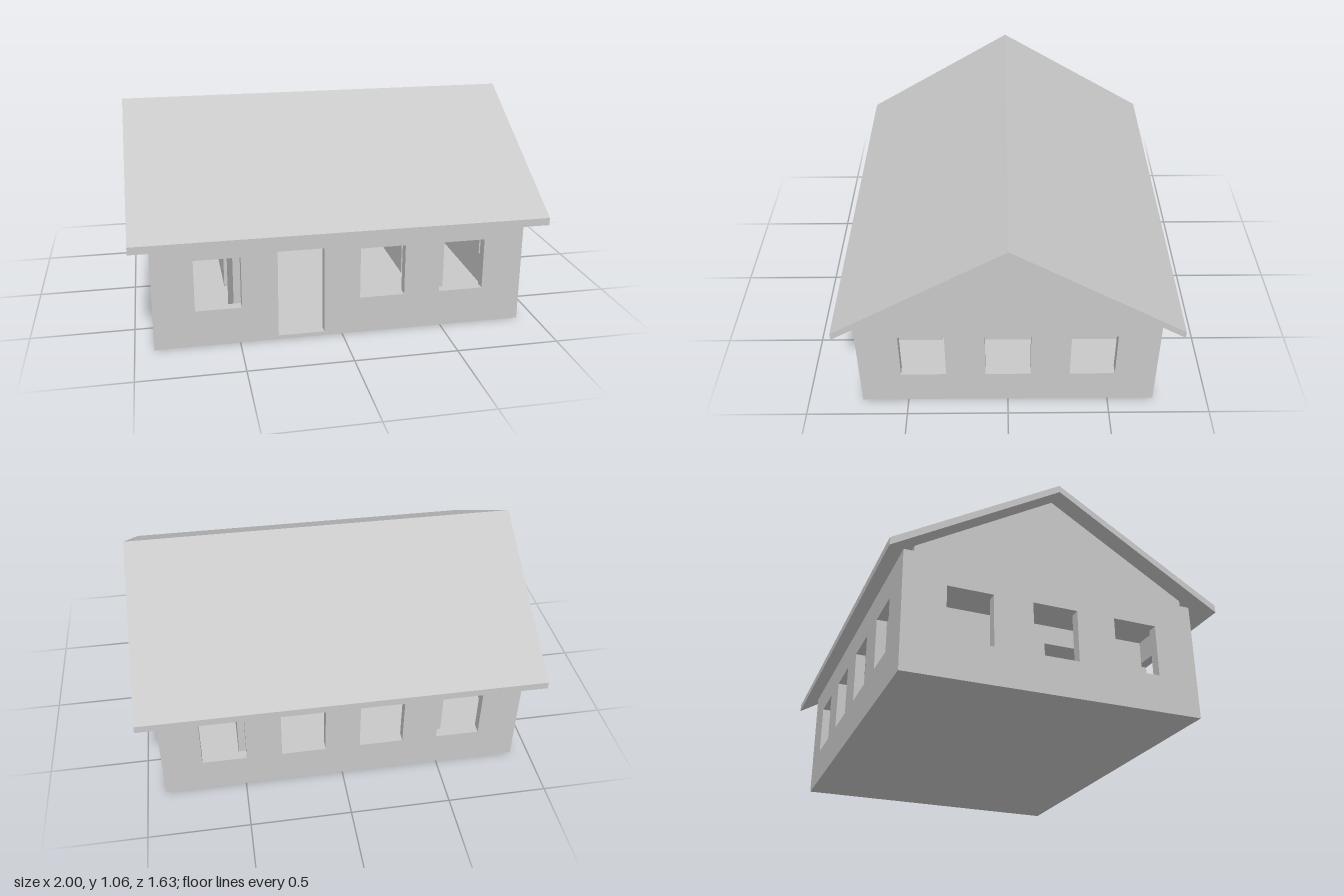
import * as THREE from 'three';

const HX = 0.908, HZ = 0.73, T = 0.05;      // half length, half depth, wall thickness
const EAVE = 0.585, FLOOR = 0.02;
const SILL = 0.185, HEAD = 0.443, DOOR_HEAD = 0.458;

// Extruded outline with rectangular openings [x0, x1, y0, y1]
function wallGeometry(outline, openings, depth) {
  const shape = new THREE.Shape(outline.map(([x, y]) => new THREE.Vector2(x, y)));
  for (const [x0, x1, y0, y1] of openings) {
    shape.holes.push(new THREE.Path([
      new THREE.Vector2(x0, y0), new THREE.Vector2(x0, y1),
      new THREE.Vector2(x1, y1), new THREE.Vector2(x1, y0),
    ]));
  }
  const geo = new THREE.ExtrudeGeometry(shape, { depth, bevelEnabled: false });
  return geo.translate(0, 0, -depth / 2);
}

const rect = (hw, y0, y1) => [[-hw, y0], [hw, y0], [hw, y1], [-hw, y1]];

export function createModel() {
  const house = new THREE.Group();
  house.name = 'house';
  const plaster = new THREE.MeshStandardMaterial({ color: 0xc8c8c8 });
  plaster.name = 'plain grey';

  function add(name, geo, x = 0, y = 0, z = 0, turn = 0) {
    const mesh = new THREE.Mesh(geo, plaster);
    mesh.name = name;
    mesh.position.set(x, y, z);
    mesh.rotation.y = turn;
    house.add(mesh);
  }

  // Long walls: four openings each, the front one with a door
  const windowAt = (c) => [c - 0.111, c + 0.111, SILL, HEAD];
  const door = [-0.314, -0.089, FLOOR, DOOR_HEAD];
  const long = rect(HX, 0, EAVE);
  add('frontWall', wallGeometry(long, [windowAt(-0.599), door, windowAt(0.199), windowAt(0.599)], T), 0, 0, HZ - T / 2);
  add('backWall', wallGeometry(long, [-0.599, -0.199, 0.199, 0.599].map(windowAt), T), 0, 0, -HZ + T / 2);

  // Gable walls between the long walls, rising to the roof
  const inner = HZ - T;
  const gable = [[-inner, 0], [inner, 0], [inner, 0.612], [0, 1.02], [-inner, 0.612]];
  const gableGeo = wallGeometry(gable, [-0.415, 0, 0.415].map(windowAt), T);
  for (const side of [-1, 1]) {
    add(side > 0 ? 'leftGable' : 'rightGable', gableGeo, side * (HX - T / 2), 0, 0, -Math.PI / 2);
  }

  // Inner partitions, each with a doorway towards the front
  const partitionGeo = wallGeometry(rect(inner, FLOOR, 0.56), [[0.125, 0.35, FLOOR + 0.001, DOOR_HEAD]], T);
  for (const side of [-1, 1]) {
    add(side > 0 ? 'leftPartition' : 'rightPartition', partitionGeo, side * 0.498, 0, 0, -Math.PI / 2);
  }

  // Floor and ceiling slabs
  const slab = (h) => new THREE.BoxGeometry(2 * (HX - T), h, 2 * inner);
  add('floor', slab(FLOOR), 0, FLOOR / 2, 0);
  add('ceiling', slab(0.025), 0, EAVE - 0.0125, 0);

  // Pitched roof with plumb-cut eaves
  const roof = [[-0.817, 0.53], [0, 1.02], [0.817, 0.53], [0.817, 0.567], [0, 1.056], [-0.817, 0.567]];
  add('roof', wallGeometry(roof, [], 2), 0, 0, 0, -Math.PI / 2);

  return house;
}
